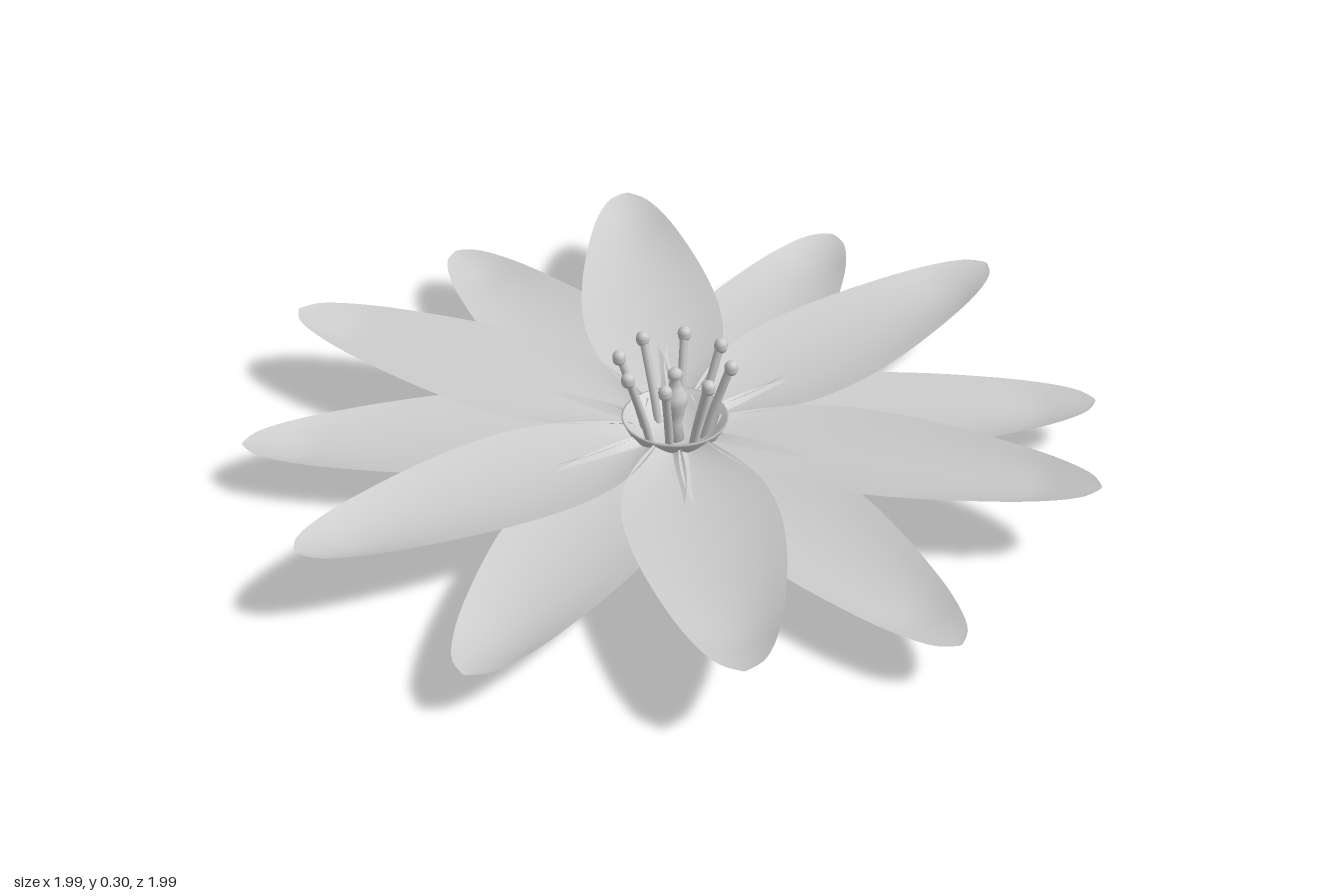
import * as THREE from 'three';

const grey = new THREE.MeshStandardMaterial({ color: 0xcccccc });
const thin = new THREE.MeshStandardMaterial({ color: 0xcccccc, side: THREE.DoubleSide });
const v2 = (pairs) => pairs.map(([x, y]) => new THREE.Vector2(x, y));

// Cupped petal along +x: outline of half-widths, parabolic cross-section, rising by slope
function petalGeometry(slope) {
  const outline = new THREE.SplineCurve(v2([
    [0.09, 0.055], [0.16, 0.1], [0.25, 0.143], [0.34, 0.165], [0.44, 0.171], [0.54, 0.164],
    [0.64, 0.149], [0.74, 0.128], [0.84, 0.102], [0.92, 0.072], [0.97, 0.042], [0.996, 0.004],
  ]));
  const rows = 33, cols = 10, positions = [], index = [];
  for (let i = 0; i <= rows; i++) {
    const p = outline.getPoint(i / rows);
    const depth = 0.027 * Math.min(1, (1 - p.x) / 0.14);
    for (let j = 0; j <= cols; j++) {
      const s = (j / cols) * 2 - 1;
      positions.push(p.x, 0.121 + slope * p.x - depth * (1 - s * s), p.y * s);
      if (i < rows && j < cols) {
        const a = i * (cols + 1) + j, b = a + cols + 1;
        index.push(a, a + 1, b, a + 1, b + 1, b);
      }
    }
  }
  const g = new THREE.BufferGeometry();
  g.setAttribute('position', new THREE.Float32BufferAttribute(positions, 3));
  g.setIndex(index);
  g.computeVertexNormals();
  return g;
}

// Six petals evenly spaced round the centre
function petalRing(name, slope, startDegrees) {
  const ring = new THREE.Group();
  ring.name = name;
  const geometry = petalGeometry(slope);
  for (let i = 0; i < 6; i++) {
    const petal = new THREE.Mesh(geometry, thin);
    petal.name = 'petal';
    petal.rotation.y = THREE.MathUtils.degToRad(startDegrees + i * 60);
    ring.add(petal);
  }
  return ring;
}

export function createModel() {
  const model = new THREE.Group();
  model.name = 'flower';
  const add = (name, geometry, material = grey, parent = model) => {
    const mesh = new THREE.Mesh(geometry, material);
    mesh.name = name;
    parent.add(mesh);
    return mesh;
  };

  model.add(petalRing('lowerPetals', 0, 30));
  model.add(petalRing('upperPetals', 0.08, 2.4));

  // Stem stub flaring into a hollow cup
  add('receptacle', new THREE.LatheGeometry(v2([
    [0, 0], [0.05, 0], [0.05, 0], [0.05, 0.024], [0.057, 0.034], [0.1, 0.088], [0.122, 0.13],
    [0.125, 0.136], [0.12, 0.137], [0.1, 0.115], [0.065, 0.085], [0.03, 0.075], [0, 0.073],
  ]), 32), thin);

  // Pistil in the middle of the cup
  add('pistil', new THREE.LatheGeometry(v2([
    [0, 0.07], [0.022, 0.075], [0.017, 0.12], [0.022, 0.15], [0.03, 0.175], [0.028, 0.195],
    [0.016, 0.215], [0.011, 0.235], [0.017, 0.245], [0.017, 0.256], [0.01, 0.264], [0, 0.266],
  ]), 16));

  // Eight stamens leaning outward
  const filament = new THREE.TubeGeometry(new THREE.CatmullRomCurve3([
    new THREE.Vector3(0.068, 0.08, 0), new THREE.Vector3(0.086, 0.15, 0),
    new THREE.Vector3(0.108, 0.22, 0), new THREE.Vector3(0.129, 0.285, 0),
  ]), 10, 0.01, 8);
  const anther = new THREE.CapsuleGeometry(0.016, 0.006, 4, 12);
  for (let i = 0; i < 8; i++) {
    const stamen = new THREE.Group();
    stamen.name = 'stamen';
    stamen.rotation.y = (i * Math.PI) / 4;
    add('filament', filament, grey, stamen);
    add('anther', anther, grey, stamen).position.set(0.13, 0.281, 0);
    model.add(stamen);
  }
  return model;
}
